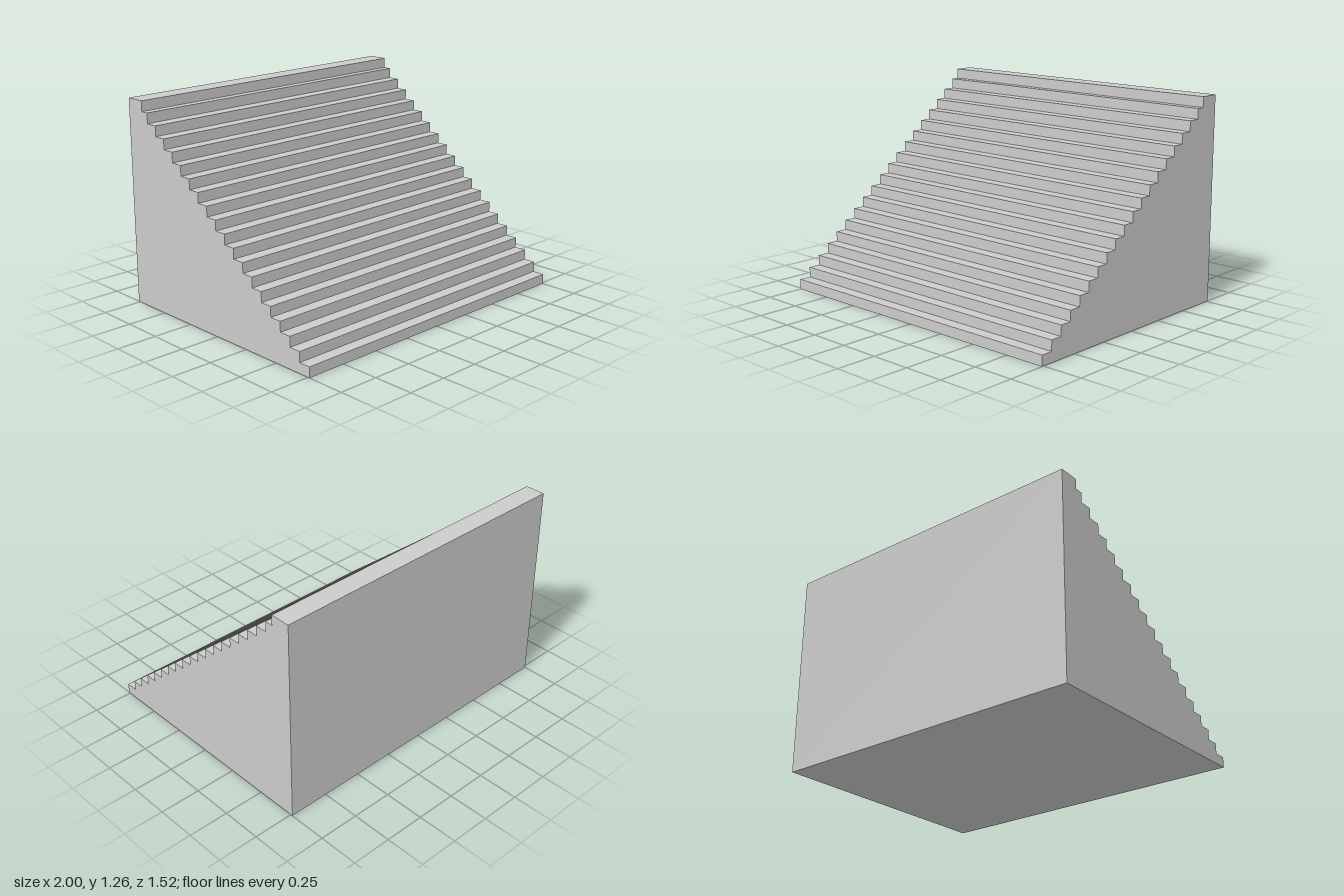
import * as THREE from 'three';

const STEPS = 20;
const RISE = 1.258 / STEPS;
const TREAD = 0.075;
const HALF_DEPTH = 0.762;
const LAST_RISER_Z = -0.638; // top riser sits closer, leaving a wider landing
const WIDTH = 2;

export function createModel() {
  const group = new THREE.Group();
  group.name = 'staircase';

  // Side profile, drawn with shape x = -z so the steps climb toward the back
  const profile = new THREE.Shape();
  profile.moveTo(-HALF_DEPTH, 0);
  profile.lineTo(HALF_DEPTH, 0);
  profile.lineTo(HALF_DEPTH, STEPS * RISE);
  for (let i = STEPS - 1; i >= 0; i--) {
    const z = i === STEPS - 1 ? LAST_RISER_Z : HALF_DEPTH - i * TREAD;
    profile.lineTo(-z, (i + 1) * RISE);
    if (i > 0) profile.lineTo(-z, i * RISE);
  }
  profile.closePath();

  // Solid flight of steps, extruded across the width
  const geometry = new THREE.ExtrudeGeometry(profile, { depth: WIDTH, bevelEnabled: false });
  geometry.translate(0, 0, -WIDTH / 2);
  geometry.rotateY(Math.PI / 2);

  const steps = new THREE.Mesh(
    geometry,
    new THREE.MeshStandardMaterial({ color: 0xcccccc, flatShading: true })
  );
  steps.name = 'steps';
  group.add(steps);
  return group;
}
